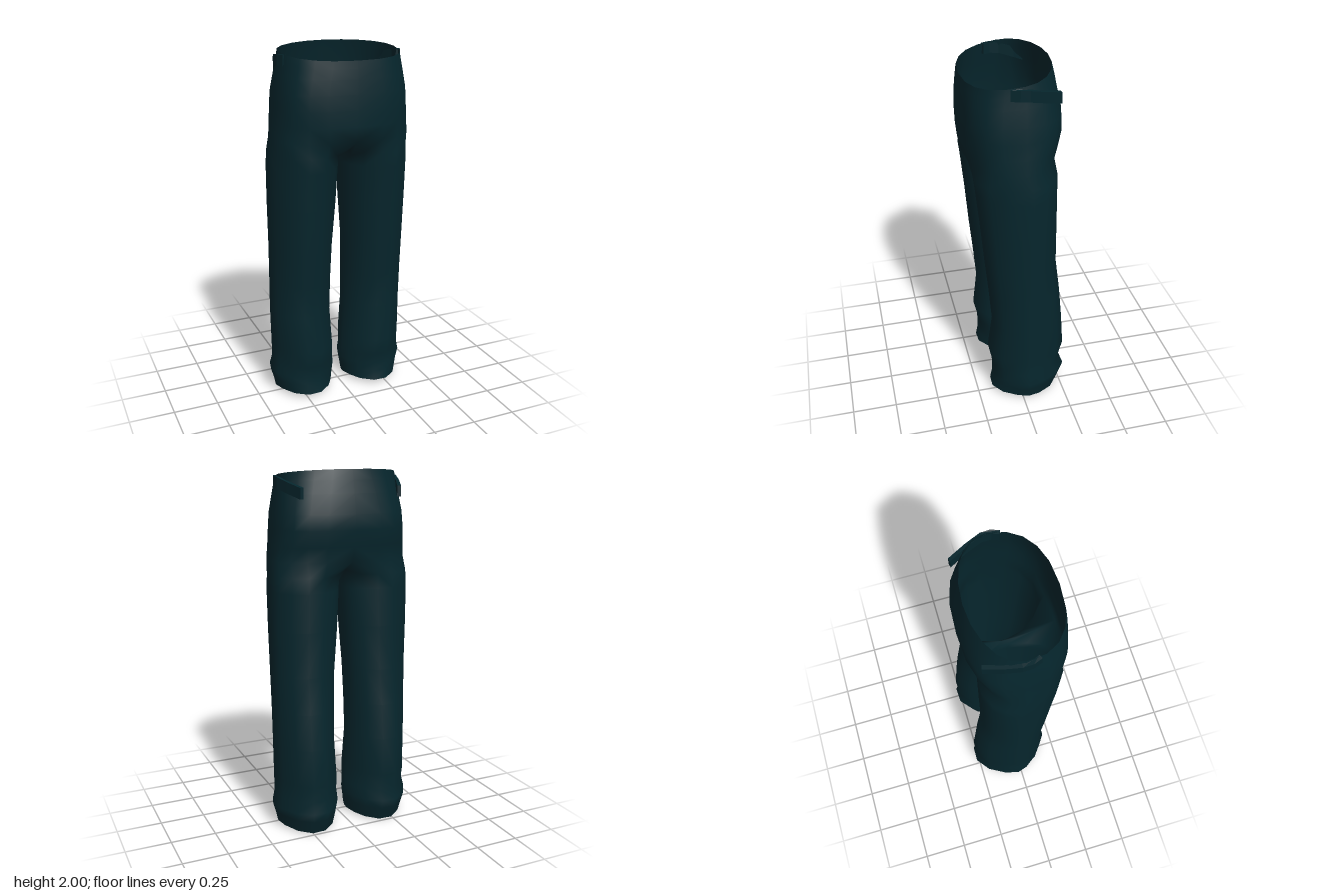
import * as THREE from 'three';
import { mergeVertices } from 'three/addons/utils/BufferGeometryUtils.js';

const OUTER = 10; // spans around the outside of each half, front to back
const INNER = 4;  // points on the inside of the leg
const RING = OUTER + 1 + INNER;
const pow = (v, e) => Math.sign(v) * Math.abs(v) ** e;
const { degToRad: rad, lerp, clamp } = THREE.MathUtils;

// Leg sections: y, inner x, outer x, front z, back z
const LEG = [
  [0.025, 0.042, 0.385, 0.17, -0.235],
  [0.08, 0.033, 0.397, 0.158, -0.265],
  [0.13, 0.025, 0.412, 0.155, -0.278],
  [0.19, 0.03, 0.398, 0.158, -0.246],
  [0.29, 0.035, 0.396, 0.181, -0.272],
  [0.5, 0.048, 0.4, 0.155, -0.254],
  [0.7, 0.046, 0.4, 0.172, -0.234],
  [0.9, 0.04, 0.402, 0.192, -0.207],
  [1.15, 0.022, 0.405, 0.213, -0.205],
  [1.36, 0.013, 0.404, 0.234, -0.203],
  [1.44, 0.012, 0.398, 0.244, -0.202],
];
// Hip sections: y, half width, front z, back z, squareness of front and back
const HIP = [
  [1.52, 0.39, 0.266, -0.21, 0.82, 0.86],
  [1.6, 0.378, 0.274, -0.228, 0.77, 0.79],
  [1.69, 0.369, 0.276, -0.247, 0.73, 0.75],
  [1.77, 0.362, 0.275, -0.244, 0.72, 0.76],
  [1.86, 0.348, 0.271, -0.224, 0.76, 0.85],
  [1.92, 0.339, 0.267, -0.212, 0.8, 0.93],
  [1.967, 0.333, 0.263, -0.2, 0.83, 0.98],
];

function legRing([y, x0, x1, zf, zb], level) {
  const cx = (x0 + x1) / 2, rx = (x1 - x0) / 2, cz = -0.03;
  const e = lerp(1.38, 1.04, clamp(y / 1.4, 0, 1)); // more pointed towards the hem
  return Array.from({ length: RING }, (_, i) => {
    const a = i <= OUTER ? rad(-40 + 26 * i) : rad(220 + (100 * (i - OUTER)) / (INNER + 1));
    const c = Math.cos(a);
    const z = cz + pow(c, e) * (c > 0 ? zf - cz : cz - zb);
    let py = y;
    if (level === 0) py += 0.025 * Math.min(0, z / 0.235); // hem drops at the heel
    if (i > OUTER && y > 1.4) py -= 0.03;                  // stay under the crotch
    return [cx + rx * Math.sin(a), py, z];
  });
}

function hipRing([y, hw, zf, zb, eFront, eBack], level) {
  const tilt = clamp((y - 1.77) / 0.197, 0, 1) * 0.13; // waist rises to the back
  const ring = [];
  for (let i = 0; i <= OUTER; i++) {
    const a = (Math.PI * i) / OUTER, c = Math.cos(a), e = c > 0 ? eFront : eBack;
    const x = i % OUTER ? hw * Math.sin(a) ** e : 0;
    const z = pow(c, e) * (c > 0 ? zf : -zb);
    ring.push([x, y + tilt * (0.05 - z), z]);
  }
  // Crotch saddle running from back to front on the centre line
  if (level === 0) for (let k = 1; k <= INNER; k++) {
    const u = k / (INNER + 1);
    ring.push([0, 1.43 + 0.09 * (2 * u - 1) ** 2, zb + (zf - zb) * u]);
  }
  return ring;
}

// Both halves of the cloth shell, welded along the centre seam
function shellGeometry() {
  const rings = [...LEG.map(legRing), ...HIP.map(hipRing)];
  const pos = [], index = [];
  for (const side of [1, -1]) {
    const starts = rings.map((ring) => {
      const start = pos.length / 3;
      ring.forEach(([x, y, z]) => pos.push(side * x, y, z));
      return start;
    });
    for (let r = 0; r < rings.length - 1; r++) {
      const spans = r < LEG.length ? RING : OUTER; // hips stay open inside
      for (let i = 0; i < spans; i++) {
        const j = (i + 1) % RING;
        const a = starts[r] + i, b = starts[r] + j, c = starts[r + 1] + j, d = starts[r + 1] + i;
        if (side > 0) index.push(a, b, c, a, c, d);
        else index.push(a, c, b, a, d, c);
      }
    }
  }
  const g = new THREE.BufferGeometry();
  g.setAttribute('position', new THREE.Float32BufferAttribute(pos, 3));
  g.setIndex(index);
  const welded = mergeVertices(g, 1e-4);
  welded.computeVertexNormals();
  return welded;
}

// Flat closing panel at the hem
function hemGeometry(side) {
  const ring = legRing(LEG[0], 0);
  const pos = [side * 0.215, 0.02, -0.03], index = [];
  ring.forEach(([x, y, z], i) => {
    pos.push(side * x, y, z);
    const a = 1 + i, b = 1 + ((i + 1) % RING);
    index.push(0, ...(side > 0 ? [b, a] : [a, b]));
  });
  const g = new THREE.BufferGeometry();
  g.setAttribute('position', new THREE.Float32BufferAttribute(pos, 3));
  g.setIndex(index);
  g.computeVertexNormals();
  return g;
}

// Waist tab: bent strip in plan, extruded up and sloped down to the back
function tabGeometry(side) {
  const outline = [[0.335, 0.075], [0.352, 0.03], [0.352, -0.02], [0.328, -0.1], [0.29, -0.195],
    [0.27, -0.19], [0.308, -0.1], [0.332, -0.02], [0.33, 0.03], [0.315, 0.065]];
  const shape = new THREE.Shape(outline.map(([x, z]) => new THREE.Vector2(side * x, -z)));
  const g = new THREE.ExtrudeGeometry(shape, { depth: 0.058, bevelEnabled: false });
  g.rotateX(-Math.PI / 2);
  const p = g.attributes.position;
  for (let i = 0; i < p.count; i++) {
    p.setY(i, p.getY(i) + 1.905 + 0.28 * Math.min(0, p.getZ(i)));
  }
  g.computeVertexNormals();
  return g;
}

export function createModel() {
  const cloth = new THREE.MeshStandardMaterial({ color: 0x06262d });
  cloth.name = 'dark teal cloth';
  cloth.side = THREE.DoubleSide;
  const model = new THREE.Group();
  model.name = 'trousers';
  const add = (name, geometry) => {
    const mesh = new THREE.Mesh(geometry, cloth);
    mesh.name = name;
    model.add(mesh);
  };
  add('trouserShell', shellGeometry());
  for (const [side, label] of [[1, 'left'], [-1, 'right']]) {
    add(label + 'HemPanel', hemGeometry(side));
    add(label + 'WaistTab', tabGeometry(side));
  }
  return model;
}
